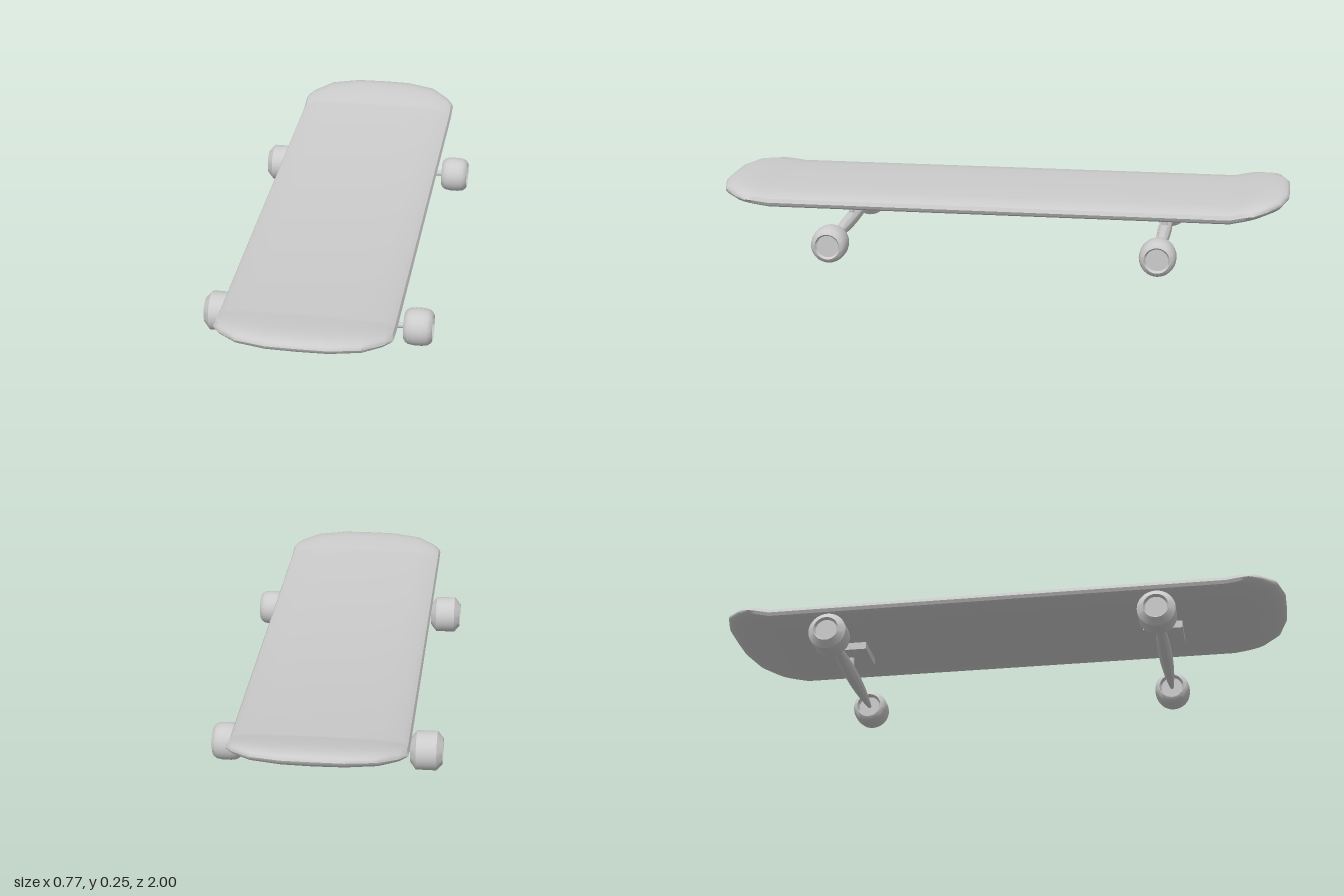
import * as THREE from 'three';
import { toCreasedNormals } from 'three/addons/utils/BufferGeometryUtils.js';

const grey = new THREE.MeshStandardMaterial({ color: 0xcccccc });

function part(name, geometry, parent, x = 0, y = 0, z = 0) {
  const mesh = new THREE.Mesh(geometry, grey);
  mesh.name = name;
  mesh.position.set(x, y, z);
  parent.add(mesh);
  return mesh;
}

// Deck: lens-shaped cross-section swept along z, with rounded, lifted ends
function deckGeometry() {
  const half = [[0.1, -0.032], [0.2, -0.027], [0.26, -0.018], [0.284, -0.008], [0.29, 0.003],
    [0.284, 0.016], [0.265, 0.024], [0.2, 0.031], [0.1, 0.033]];
  const ring = [[0, -0.034], ...half, [0, 0.034], ...half.map(([x, y]) => [-x, y]).reverse()];
  const ends = [0, 0.1, 0.25, 0.42, 0.6, 0.75, 0.87, 0.95, 0.985, 1];
  const stations = [...ends.map(u => [-1, u]).reverse(), ...ends.map(u => [1, u])];
  const n = ring.length, pos = [], index = [];
  stations.forEach(([side, u], i) => {
    const thickness = Math.sqrt(1 - u ** 4);
    ring.forEach(([x, y], k) => {
      const tip = 1 - 0.12 * (Math.abs(x) / 0.29) ** 4;
      const run = u * (tip - 0.8);
      const lift = (side > 0 ? 0.026 : 0.044) * run / 0.2;
      pos.push(x, 0.187 + y * thickness + lift, side * (0.8 + run));
      if (i === stations.length - 1) return;
      const a = i * n + k, b = i * n + (k + 1) % n;
      index.push(a, b, a + n, b, b + n, a + n);
    });
  });
  const geo = new THREE.BufferGeometry();
  geo.setAttribute('position', new THREE.Float32BufferAttribute(pos, 3));
  geo.setIndex(index);
  return toCreasedNormals(geo, 0.6);
}

// Turned part along x; the profile runs outward toward the given side
function turned(profile, side, crease = 0.5) {
  const geo = new THREE.LatheGeometry(profile.map(p => new THREE.Vector2(...p)), 32);
  geo.rotateZ(-side * Math.PI / 2);
  return toCreasedNormals(geo, crease);
}

// Wheel profiles as [radius, distance from inner face]
const chamferedWheel = [[0, 0.02], [0.034, 0.02], [0.04, 0], [0.0655, 0.02], [0.0655, 0.088],
  [0.043, 0.108], [0.037, 0.098], [0, 0.098]];
const roundedWheel = [[0, 0.015], [0.038, 0.015], [0.044, 0], [0.053, 0.005], [0.06, 0.016],
  [0.063, 0.034], [0.063, 0.062], [0.06, 0.08], [0.053, 0.091], [0.044, 0.096], [0.038, 0.088], [0, 0.088]];

// Axle tapers from a thick middle to thin ends
function axleProfile() {
  const pts = [[0, -0.3]];
  for (let i = 0; i <= 16; i++) {
    const t = i / 8 - 1;
    pts.push([0.007 + 0.017 * (1 - t * t), t * 0.3]);
  }
  pts.push([0, 0.3]);
  return pts;
}

function createTruck(name, z) {
  const truck = new THREE.Group();
  truck.name = name;
  truck.position.z = z;
  part('baseplate', new THREE.BoxGeometry(0.148, 0.034, 0.138), truck, 0.002, 0.145);
  part('kingpin', new THREE.CylinderGeometry(0.01, 0.01, 0.07, 20), truck, 0.002, 0.1);
  part('axle', turned(axleProfile(), 1), truck, 0, 0.066);
  part('leftWheel', turned(roundedWheel, 1, 0.6), truck, 0.286, 0.0655);
  part('rightWheel', turned(chamferedWheel, -1), truck, -0.277, 0.0655);
  return truck;
}

export function createModel() {
  const model = new THREE.Group();
  model.name = 'skateboard';
  part('deck', deckGeometry(), model);
  model.add(createTruck('frontTruck', 0.566), createTruck('backTruck', -0.566));
  return model;
}
